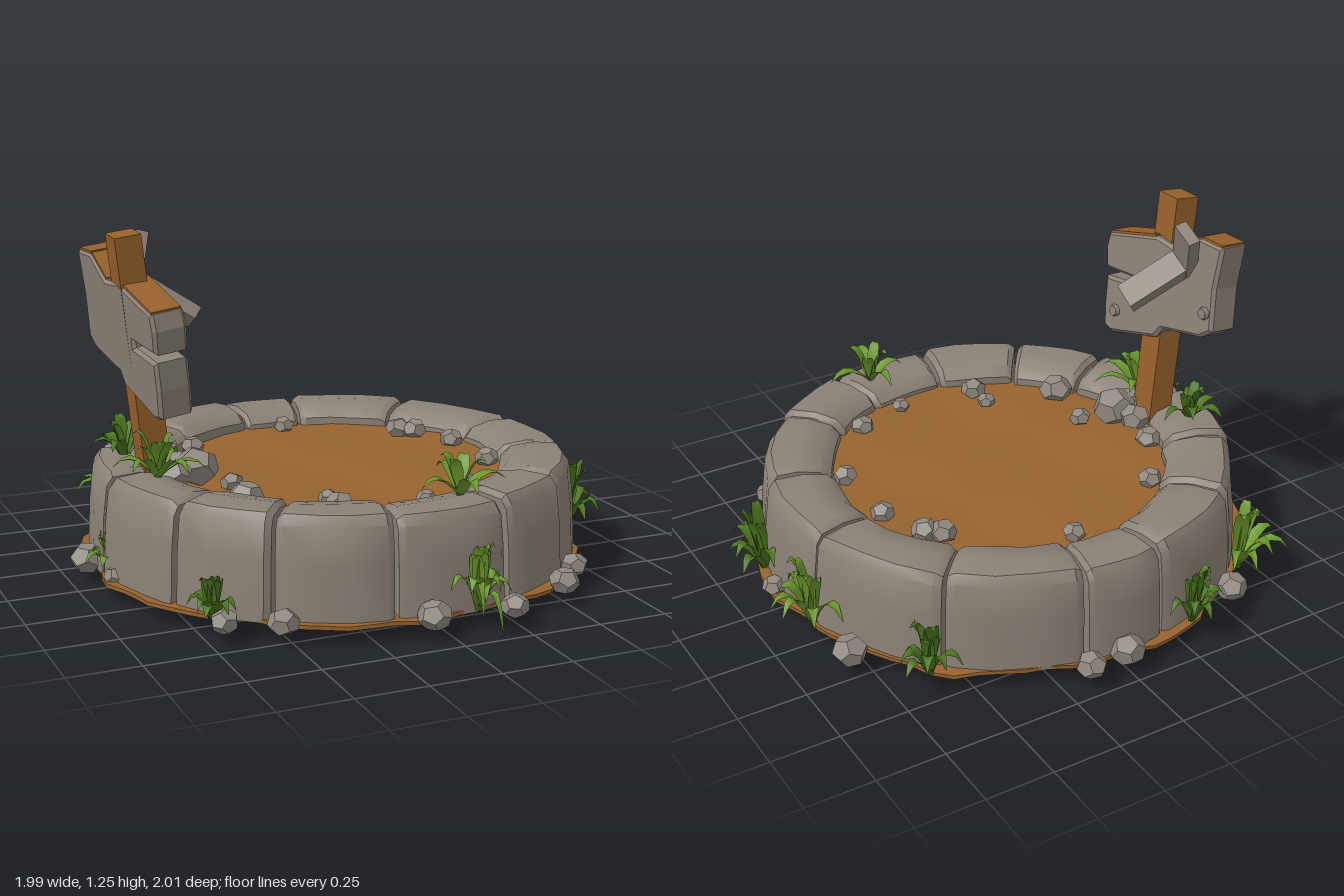
import * as THREE from 'three';
import { mergeGeometries, toCreasedNormals } from 'three/addons/utils/BufferGeometryUtils.js';

const CX = -0.03, CZ = -0.02; // centre of the ring
const V = (x, y, z) => new THREE.Vector3(x, y, z);

function mat(name, color, side = THREE.FrontSide) {
  const m = new THREE.MeshStandardMaterial({ color, side });
  m.name = name;
  return m;
}

function seeded(seed) {
  return () => {
    seed = (seed * 16807) % 2147483647;
    return seed / 2147483647;
  };
}

// Skin a row of closed cross-sections and cap both ends
function skin(sections) {
  const n = sections[0].length, pos = [], idx = [];
  sections.forEach(s => s.forEach(p => pos.push(p.x, p.y, p.z)));
  for (let s = 0; s < sections.length - 1; s++) {
    for (let i = 0; i < n; i++) {
      const j = (i + 1) % n, a = s * n + i, b = s * n + j;
      idx.push(a, b, b + n, a, b + n, a + n);
    }
  }
  [0, sections.length - 1].forEach((s, end) => {
    const c = V(0, 0, 0);
    sections[s].forEach(p => c.addScaledVector(p, 1 / n));
    const k = pos.length / 3;
    pos.push(c.x, c.y, c.z);
    for (let i = 0; i < n; i++) {
      const a = s * n + i, b = s * n + (i + 1) % n;
      if (end) idx.push(k, a, b); else idx.push(k, b, a);
    }
  });
  const g = new THREE.BufferGeometry();
  g.setAttribute('position', new THREE.Float32BufferAttribute(pos, 3));
  g.setIndex(idx);
  return toCreasedNormals(g, 0.65);
}

// One curb stone between two angles (degrees)
const PROFILE = [[.885, .05], [.875, .25], [.86, .375], [.835, .408], [.74, .415], [.655, .4], [.62, .365], [.605, .05]];
function curbStone(a0, a1, rnd) {
  const dh = (rnd() - .5) * .018, dr = (rnd() - .5) * .02;
  const ts = [0, .06, .35, .65, .94, 1];
  return skin(ts.map((t, k) => {
    const a = THREE.MathUtils.degToRad(a0 + .5 + (a1 - a0 - 1) * t);
    const sc = k === 0 || k === 5 ? .92 : 1, w = (rnd() - .5) * .014;
    return PROFILE.map(([r, y]) => {
      const R = .74 + (r - .74) * sc + dr + (r > .74 ? w : -w);
      const Y = y < .06 ? y : .2 + (y - .2) * sc + dh;
      return V(CX + Math.cos(a) * R, Y, CZ + Math.sin(a) * R);
    });
  }));
}

// Arching, folded grass blade
function blade(base, angle, len, rise, width, drop) {
  const pos = [], idx = [], n = 5, c = Math.cos(angle), s = Math.sin(angle);
  for (let i = 0; i <= n; i++) {
    const t = i / n, w = width * Math.sin(Math.PI * (.15 + .85 * t)) * .5;
    const y = base.y + rise * Math.sin(t * Math.PI * .6) - drop * t * t * t;
    const x = base.x + c * len * t, z = base.z + s * len * t;
    pos.push(x - s * w, y + w * .4, z + c * w, x, y, z, x + s * w, y + w * .4, z - c * w);
    if (i < n) for (let k = 0; k < 2; k++) {
      const a = i * 3 + k;
      idx.push(a, a + 1, a + 4, a, a + 4, a + 3);
    }
  }
  const g = new THREE.BufferGeometry();
  g.setAttribute('position', new THREE.Float32BufferAttribute(pos, 3));
  g.setIndex(idx);
  g.computeVertexNormals();
  return g;
}

// Box running from a to b, its width lying near the given direction
function beam(a, b, width, thick, widthDir) {
  const d = b.clone().sub(a), len = d.length();
  d.normalize();
  const n = widthDir.clone().cross(d).normalize(), w = d.clone().cross(n);
  const g = new THREE.BoxGeometry(width, len, thick);
  g.applyMatrix4(new THREE.Matrix4().makeBasis(w, d, n).setPosition(a.clone().add(b).multiplyScalar(.5)));
  return g;
}

export function createModel() {
  const model = new THREE.Group();
  const rnd = seeded(4217);
  const stone = mat('stone', 0x8a8176), pebbleMat = mat('pebble grey', 0x8f8880);
  const dirt = mat('dirt', 0x96632f), wood = mat('wood', 0x96602a);
  const leafLight = mat('light grass', 0x6a972b, THREE.DoubleSide);
  const leafDark = mat('dark grass', 0x4b751d, THREE.DoubleSide);
  const add = (name, geo, m, parent = model) => {
    const mesh = new THREE.Mesh(geo, m);
    mesh.name = name;
    parent.add(mesh);
    return mesh;
  };

  // Ragged base: dirt on top, stone underneath, dirt patch in the middle
  const ragged = (r, amp, h, y) => {
    const g = new THREE.CylinderGeometry(r, r, h, 72), p = g.attributes.position;
    for (let i = 0; i < p.count; i++) {
      const a = Math.atan2(p.getZ(i), p.getX(i));
      const k = 1 + amp * (Math.sin(a * 7 + 1) * .5 + Math.sin(a * 13) * .35 + Math.sin(a * 23 + 2) * .3);
      p.setX(i, p.getX(i) * k);
      p.setZ(i, p.getZ(i) * k);
    }
    return g.translate(CX, y, CZ);
  };
  add('dirtSkirt', ragged(.9, .035, .014, .056), [dirt, dirt, stone]);
  add('underside', ragged(.67, .06, .006, .047), dirt);

  // Gently uneven dirt floor
  const floor = new THREE.RingGeometry(0, .66, 40, 8).rotateX(-Math.PI / 2);
  const fp = floor.attributes.position;
  for (let i = 0; i < fp.count; i++) {
    const x = fp.getX(i), z = fp.getZ(i);
    fp.setY(i, .34 + .007 * Math.sin(x * 9 + z * 4) * Math.cos(z * 8 - x * 2));
  }
  floor.computeVertexNormals();
  add('dirtFloor', floor.translate(CX, 0, CZ), dirt);

  // Ring of curb stones
  const joints = [-99, -79, -47, -12.5, 17, 48, 71, 99, 126, 150, 178, 204, 231, 261];
  for (let i = 0; i < joints.length - 1; i++) {
    add('curbStone', curbStone(joints[i], joints[i + 1], rnd), stone);
  }

  // Pebbles: x, z, radius
  const pebbles = (name, list, y) => list.forEach(([x, z, r]) => {
    const g = new THREE.DodecahedronGeometry(r, 0);
    g.rotateX(rnd() * 3).rotateY(rnd() * 6).scale(1, .85, 1);
    add(name, g.translate(x, y + r * .45, z), pebbleMat);
  });
  pebbles('innerPebble', [[-.43, -.42, .045], [0, -.58, .042], [.39, -.35, .05], [.44, -.31, .05], [.51, -.13, .045],
    [.51, .16, .045], [.29, .45, .045], [.085, .525, .035], [-.22, .49, .05], [-.22, .39, .036], [-.46, .09, .042],
    [-.49, .31, .065], [-.59, -.18, .05]], .34);
  pebbles('outerPebble', [[0, -.92, .065], [.15, -.93, .055], [.81, -.45, .065], [.62, .62, .05], [.5, .76, .055],
    [.23, .905, .05], [-.06, .895, .06], [-.53, .755, .055], [-.53, -.8, .06], [-.935, -.11, .065], [.865, .04, .045],
    [-.7, .67, .05], [-.89, .1, .045]], .052);
  pebbles('postStone', [[-.57, .02, .085], [-.6, -.07, .06], [-.65, .04, .06]], .37);

  // Grass tufts
  const tuft = (name, x, y, z, count, size, rise, facing, spread, m) => {
    const list = [];
    for (let i = 0; i < count; i++) {
      const a = facing + spread * (2 * (i + .5) / count - 1) + (rnd() - .5) * .3;
      const inner = i % 2 ? .5 : 1;
      list.push(blade(V(x, y, z), a, size * inner * (.8 + rnd() * .4), rise * (inner < 1 ? 1.05 : .7) * (.85 + rnd() * .3),
        .042 + rnd() * .015, inner < 1 ? 0 : rise * .3));
    }
    add(name, mergeGeometries(list), m);
  };
  // tufts growing outside the ring: x, z, size, height
  [[-.3, -.88, .11, .2], [-.64, -.69, .16, .23], [.63, -.68, .11, .2], [.84, -.22, .15, .25], [.84, .18, .14, .22],
    [.12, .86, .1, .2], [-.72, .61, .09, .15], [-.88, 0, .09, .13]].forEach(([x, z, s, h], i) =>
    tuft('wallGrass', x, .055, z, 11, s, h, Math.atan2(z - CZ, x - CX), 1.7, i % 2 ? leafLight : leafDark));
  // broad plant on the front stones and grass round the post
  tuft('frontPlant', .13, .4, .69, 8, .17, .13, 1.2, Math.PI, leafLight);
  tuft('postGrass', -.73, .4, .09, 10, .15, .14, 1.6, 2.4, leafLight);
  tuft('postGrass', -.76, .4, -.2, 10, .13, .14, -1.8, 2.4, leafDark);
  // long trailing blades
  add('trailingGrass', mergeGeometries([
    blade(V(.12, .08, .87), 1.4, .13, .1, .03, .175),
    blade(V(.1, .1, .87), 1.75, .1, .12, .03, .16)
  ]), leafLight);

  // Leaning post
  const post = new THREE.Group();
  post.name = 'signPost';
  post.position.set(-.695, .35, -.045);
  post.rotation.set(.04, 0, .119);
  model.add(post);
  add('post', new THREE.BoxGeometry(.095, .9, .11).translate(0, .45, 0), wood, post);

  // Broken board, outlined in its own plane
  const board = new THREE.Group();
  board.name = 'signBoard';
  board.position.set(-.695, .35, 0);
  board.rotation.set(0, .1, .119);
  model.add(board);
  const outline = [[-.25, 1.02], [-.26, .96], [-.245, .878], [-.06, .893], [-.06, .873], [-.235, .85], [-.23, .75],
    [-.215, .65], [-.17, .64], [.07, .71], [.1, .755], [.3, .8], [.355, .84], [.34, 1.0], [.35, 1.16], [.23, 1.16],
    [.12, 1.08], [.01, 1.09]];
  const shape = new THREE.Shape(outline.map(([u, y]) => new THREE.Vector2(u, y - .35)));
  const boardGeo = new THREE.ExtrudeGeometry(shape, {
    depth: .1, bevelEnabled: true, bevelThickness: .012, bevelSize: .012, bevelOffset: -.012, bevelSegments: 1
  });
  add('boardPanel', boardGeo.translate(0, 0, -.05).rotateY(Math.PI / 2).translate(.012, 0, 0), stone, board);
  // bare wood along the upper edges
  [[-.245, 1.02, .0, 1.087], [.125, 1.082, .23, 1.158], [.235, 1.16, .34, 1.16]].forEach(([u0, y0, u1, y1]) => {
    const g = beam(V(.012, y0 - .348, -u0), V(.012, y1 - .348, -u1), .108, .009, V(1, 0, 0));
    add('bareEdge', g, wood, board);
  });
  // knots on the board face
  [[-.155, .735], [.31, .9]].forEach(([u, y]) => {
    const g = new THREE.CylinderGeometry(.02, .026, .02, 7).rotateZ(-Math.PI / 2);
    add('boardKnot', g.translate(.08, y - .35, -u), stone, board);
  });

  // Snapped plank hanging from the board
  const across = V(0, .45, .9);
  add('plankUpper', beam(V(-.73, 1.03, -.16), V(-.675, 1.2, -.24), .1, .045, across), stone);
  add('plankLower', beam(V(-.735, 1.06, -.17), V(-.525, .92, -.09), .1, .05, across), stone);
  return model;
}
